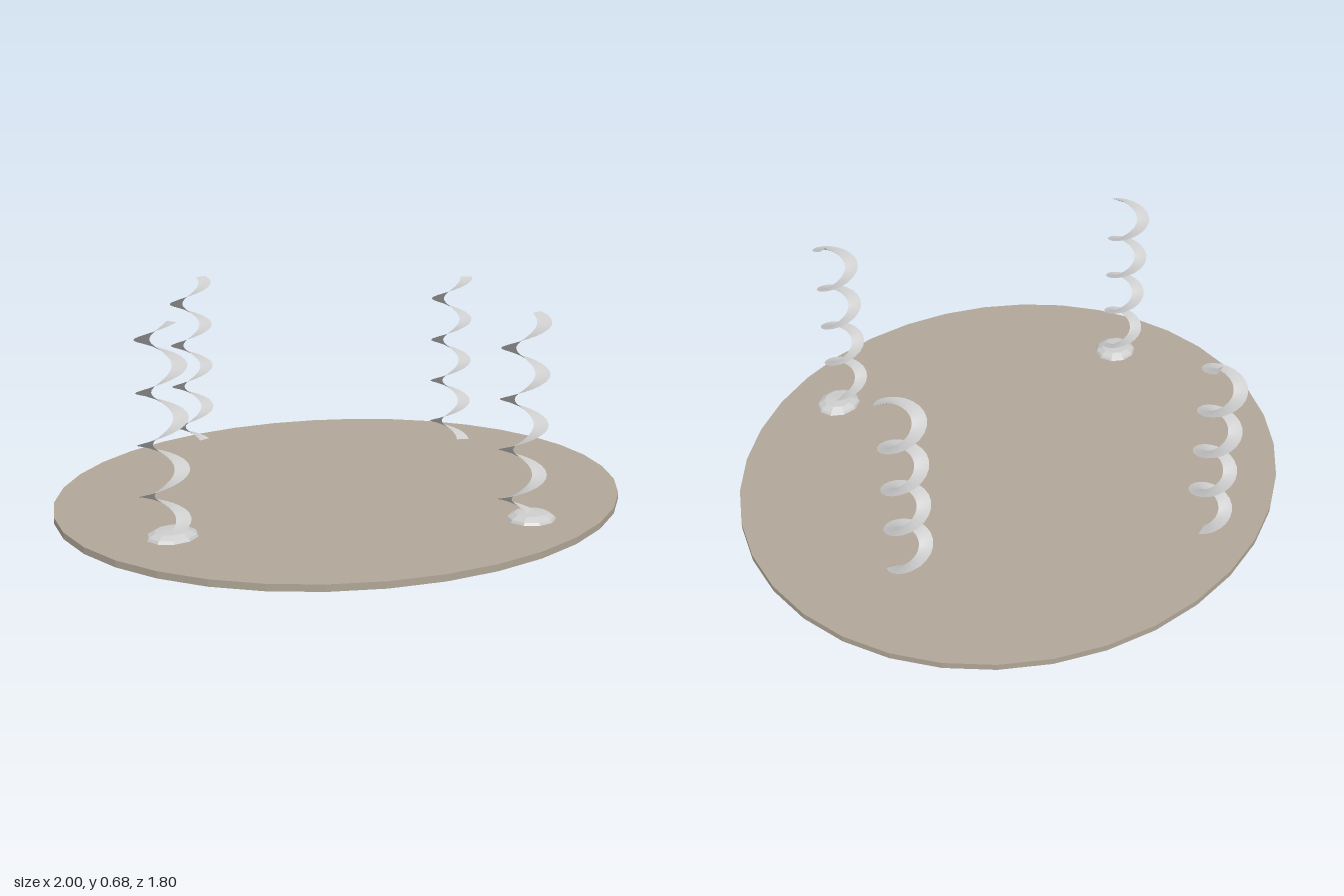
import * as THREE from 'three';

const Z_SCALE = 0.9; // the whole model is slightly squashed in depth
const grey = new THREE.MeshStandardMaterial({ color: 0xcccccc, side: THREE.DoubleSide });
const stone = new THREE.MeshStandardMaterial({ color: 0xb0a597, flatShading: true });
const bronze = new THREE.MeshStandardMaterial({ color: 0xb39c6c });
const slate = new THREE.MeshStandardMaterial({ color: 0x485860, flatShading: true });

function add(group, name, geometry, material, x = 0, y = 0, z = 0) {
  const mesh = new THREE.Mesh(geometry, material);
  mesh.name = name;
  mesh.position.set(x, y, z);
  group.add(mesh);
  return mesh;
}

// Thin spiral ribbon: a strip wound around the y axis
function spiralRibbon(inner, outer, height, turns, startAngle) {
  const geometry = new THREE.PlaneGeometry(1, 1, turns * 20, 1);
  const p = geometry.attributes.position;
  for (let i = 0; i < p.count; i++) {
    const t = p.getX(i) + 0.5;
    const r = p.getY(i) > 0 ? outer : inner;
    const a = startAngle + t * turns * Math.PI * 2;
    p.setXYZ(i, r * Math.cos(a), t * height, -r * Math.sin(a) * Z_SCALE);
  }
  geometry.computeVertexNormals();
  return geometry;
}

// Low faceted mound
function moundGeometry() {
  const profile = [[0.084, 0], [0.078, 0.009], [0.055, 0.021], [0, 0.025]]
    .map(([r, y]) => new THREE.Vector2(r, y));
  return new THREE.LatheGeometry(profile, 10).scale(1, 1, Z_SCALE);
}

export function createModel() {
  const model = new THREE.Group();
  model.name = 'plateWithSpirals';

  // Oval plate
  add(model, 'plate', new THREE.CylinderGeometry(1, 1, 0.021, 36).scale(1, 1, Z_SCALE), stone, 0, 0.0225, 0);

  // Two raised rings under the plate
  for (const [name, radius] of [['outerRing', 0.755], ['innerRing', 0.515]]) {
    const ring = new THREE.TorusGeometry(radius, 0.015, 8, 64);
    ring.rotateX(Math.PI / 2).scale(1, 0.6, Z_SCALE);
    add(model, name, ring, bronze, 0, 0.013, 0);
  }

  // Jagged patch in the middle of the underside
  const outline = [
    [0.28, -0.20], [0.16, -0.16], [-0.05, -0.26], [-0.27, -0.26], [-0.26, -0.16],
    [-0.33, 0.06], [-0.11, 0.33], [0.08, 0.33], [0.18, 0.13],
  ].map(([x, z]) => new THREE.Vector2(x, -z));
  const patch = new THREE.ExtrudeGeometry(new THREE.Shape(outline), { depth: 0.014, bevelEnabled: false });
  add(model, 'undersidePatch', patch.rotateX(-Math.PI / 2), slate);

  // Four spirals: x, z, start angle
  const spirals = [
    ['frontSpiral', 0.013, 0.70, 0],
    ['backSpiral', 0.013, -0.74, 0],
    ['leftSpiral', 0.662, -0.015, -0.8],
    ['rightSpiral', -0.757, -0.055, -Math.PI / 2],
  ];
  for (const [name, x, z, start] of spirals) {
    add(model, name, spiralRibbon(0.032, 0.08, 0.625, 4, start), grey, x, 0.055, z);
  }

  // Mounds beside the feet of two spirals
  const moundMaterial = grey.clone();
  moundMaterial.flatShading = true;
  add(model, 'frontMound', moundGeometry(), moundMaterial, 0.073, 0.032, 0.70);
  add(model, 'rightMound', moundGeometry(), moundMaterial, -0.755, 0.032, -0.03);

  return model;
}
